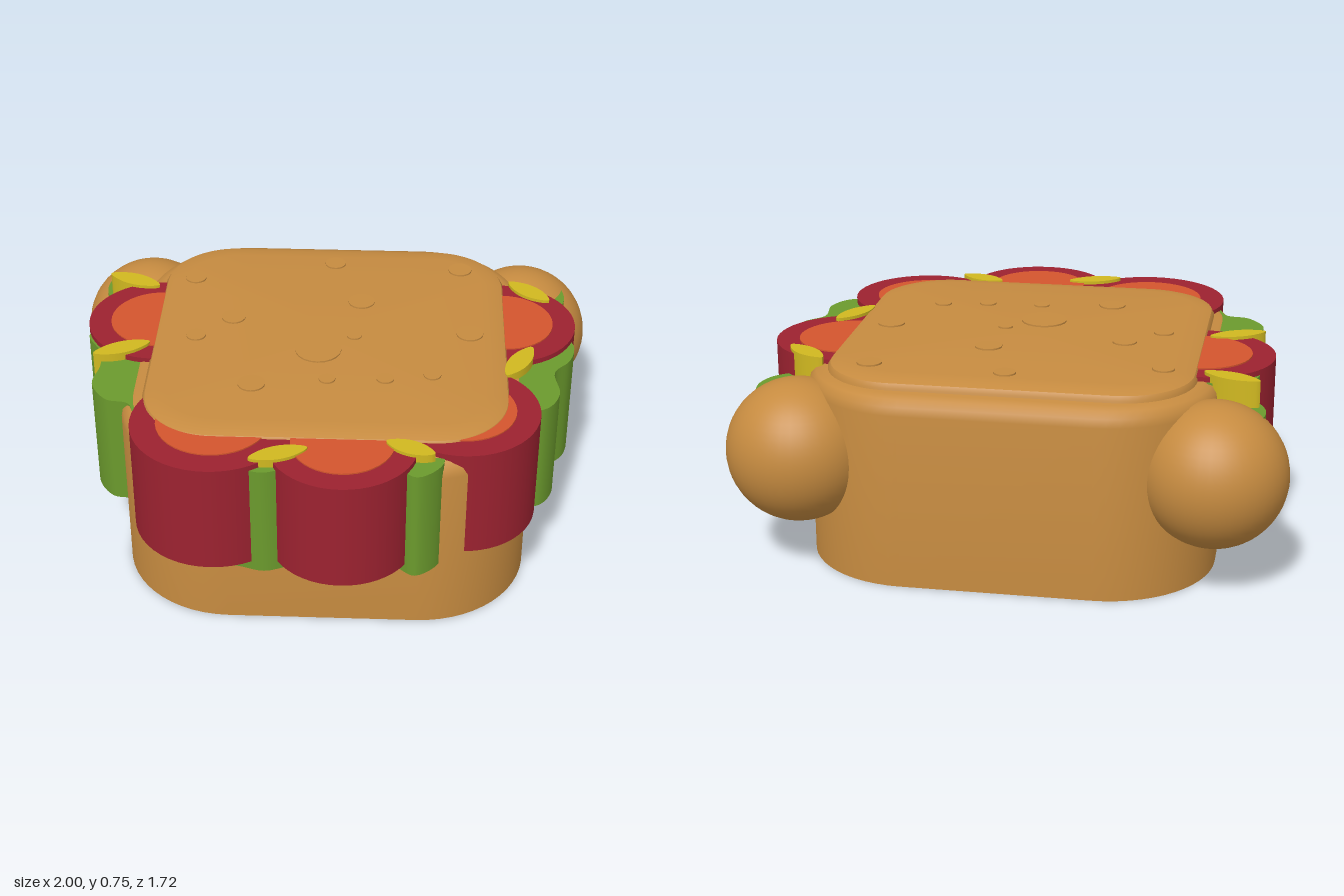
import * as THREE from 'three';
import { toCreasedNormals } from 'three/addons/utils/BufferGeometryUtils.js';

const material = (name, color) => {
  const m = new THREE.MeshStandardMaterial({ color });
  m.name = name;
  return m;
};

// Stacked rounded-square rings [halfX, halfZ, cornerRadius, y], closed to a point at both ends
function loft(rings, steps = 14) {
  const pos = [], index = [];
  const n = 4 * (steps + 1);
  for (const [hx, hz, r, y] of rings) {
    for (let q = 0; q < 4; q++) {
      const cx = (q === 0 || q === 3 ? 1 : -1) * (hx - r);
      const cz = (q < 2 ? 1 : -1) * (hz - r);
      for (let s = 0; s <= steps; s++) {
        const a = (q + s / steps) * Math.PI / 2;
        pos.push(cx + r * Math.cos(a), y, cz + r * Math.sin(a));
      }
    }
  }
  for (let j = 0; j < rings.length - 1; j++) {
    for (let i = 0; i < n; i++) {
      const a = j * n + i, b = j * n + (i + 1) % n;
      index.push(a, a + n, b, b, a + n, b + n);
    }
  }
  const g = new THREE.BufferGeometry();
  g.setAttribute('position', new THREE.Float32BufferAttribute(pos, 3));
  g.setIndex(index);
  return toCreasedNormals(g, 0.6);
}

// Upright slab with a smooth closed outline given in x, z
function slab(points, y0, y1) {
  const curve = new THREE.CatmullRomCurve3(
    points.map(([x, z]) => new THREE.Vector3(x, z, 0)), true, 'centripetal');
  const outline = curve.getPoints(points.length * 6).slice(0, -1)
    .map(p => new THREE.Vector2(p.x, p.y));
  const g = new THREE.ExtrudeGeometry(new THREE.Shape(outline), { depth: y1 - y0, bevelEnabled: false });
  g.rotateX(Math.PI / 2);
  g.translate(0, y1, 0);
  return toCreasedNormals(g, 0.7);
}

export function createModel() {
  const model = new THREE.Group();
  model.name = 'sandwich';
  const bread = material('bread', 0xc68b40);
  const skin = material('tomatoSkin', 0x9c2230);
  const flesh = material('tomatoFlesh', 0xd4552d);
  const green = material('lettuce', 0x6b9a2d);
  const yellow = material('cheese', 0xd0b820);

  const add = (name, geometry, mat, x = 0, y = 0, z = 0) => {
    const mesh = new THREE.Mesh(geometry, mat);
    mesh.name = name;
    mesh.position.set(x, y, z);
    model.add(mesh);
    return mesh;
  };

  // Bread body with a softened top rim, and the raised top slice
  add('breadBody', loft([
    [0, 0, 0, 0], [0.74, 0.74, 0.4, 0], [0.74, 0.74, 0.4, 0.64], [0.734, 0.734, 0.394, 0.67],
    [0.715, 0.715, 0.375, 0.693], [0.685, 0.685, 0.345, 0.704], [0, 0, 0, 0.705],
  ]), bread, 0, 0, -0.05);
  add('topSlice', loft([
    [0, 0, 0, 0.66], [0.66, 0.65, 0.27, 0.66], [0.66, 0.65, 0.27, 0.712], [0.65, 0.64, 0.26, 0.727],
    [0.62, 0.61, 0.23, 0.737], [0.57, 0.56, 0.18, 0.742], [0, 0, 0, 0.742],
  ]), bread, 0, 0, -0.06);

  // Crumb spots on the top slice: x, z, radius
  const spots = [
    [-0.54, -0.44, 0.04], [0, -0.57, 0.04], [0.49, -0.54, 0.045], [-0.37, -0.16, 0.045],
    [-0.5, -0.03, 0.037], [-0.27, 0.28, 0.05], [-0.04, 0.05, 0.085], [0.11, -0.29, 0.05],
    [0.09, -0.05, 0.028], [0.21, 0.23, 0.032], [0.52, -0.08, 0.05], [0, 0.24, 0.03],
    [0.38, 0.2, 0.032],
  ];
  for (const [x, z, r] of spots) {
    add('crumbSpot', new THREE.CylinderGeometry(r, r, 0.01, 20), bread, x, 0.743, z);
  }

  // Round buns at the back corners
  for (const side of [1, -1]) {
    const bun = add(side > 0 ? 'leftBun' : 'rightBun', new THREE.SphereGeometry(0.26, 40, 28),
      bread, side * 0.74, 0.43, -0.61);
    bun.scale.z = 0.97;
  }

  // Tomato slices: x, z, radius
  const tomatoes = [
    [-0.65, -0.17, 0.27], [0.65, -0.2, 0.27], [0.49, 0.38, 0.275],
    [0.07, 0.595, 0.265], [-0.39, 0.485, 0.295],
  ];
  for (const [x, z, r] of tomatoes) {
    add('tomatoSlice', new THREE.CylinderGeometry(r, r, 0.42, 48), skin, x, 0.51, z);
    add('tomatoCentre', new THREE.CylinderGeometry(r * 0.69, r * 0.69, 0.006, 40), flesh, x, 0.722, z);
  }

  // Ruffled lettuce along the two sides and the front
  const leaves = {
    rightLettuce: [[-0.6, -0.42], [-0.8, -0.42], [-0.87, -0.34], [-0.85, -0.2], [-0.91, -0.08],
      [-0.86, 0.02], [-0.84, 0.12], [-0.855, 0.24], [-0.79, 0.34], [-0.71, 0.36], [-0.66, 0.46], [-0.58, 0.44]],
    leftLettuce: [[0.6, -0.4], [0.8, -0.41], [0.87, -0.32], [0.86, -0.2], [0.91, -0.08],
      [0.89, 0.02], [0.83, 0.1], [0.84, 0.24], [0.79, 0.33], [0.71, 0.35], [0.6, 0.35]],
    frontLettuce: [[0.38, 0.55], [0.42, 0.67], [0.33, 0.755], [0.24, 0.7], [0.1, 0.81], [-0.06, 0.71],
      [-0.2, 0.75], [-0.28, 0.73], [-0.38, 0.7], [-0.42, 0.62], [-0.36, 0.55]],
  };
  for (const [name, outline] of Object.entries(leaves)) add(name, slab(outline, 0.265, 0.7), green);

  // Curled lettuce tips resting on the buns
  for (const side of [1, -1]) {
    const tip = [[0.885, -0.62], [0.905, -0.52], [0.87, -0.43], [0.78, -0.38], [0.78, -0.44], [0.86, -0.51]];
    add('lettuceTip', slab(tip.map(([x, z]) => [side * x, z]), 0.42, 0.635), green);
  }

  // Cheese slivers, each a spindle from one end to the other: x0, z0, x1, z1
  const slivers = [
    [-0.88, -0.48, -0.68, -0.4], [-0.87, 0.09, -0.67, 0.0], [0.68, -0.48, 0.83, -0.35],
    [0.65, 0.17, 0.75, -0.02], [-0.25, 0.71, -0.05, 0.64], [0.22, 0.59, 0.39, 0.66],
  ];
  for (const [x0, z0, x1, z1] of slivers) {
    const len = Math.hypot(x1 - x0, z1 - z0);
    const nx = -(z1 - z0) / len * 0.034, nz = (x1 - x0) / len * 0.034;
    const at = (t, k) => [x0 + (x1 - x0) * t + nx * k, z0 + (z1 - z0) * t + nz * k];
    add('cheeseSliver', slab([at(0, 0), at(0.3, -1), at(0.7, -1), at(1, 0), at(0.7, 1), at(0.3, 1)],
      0.335, 0.732), yellow);
  }
  return model;
}
